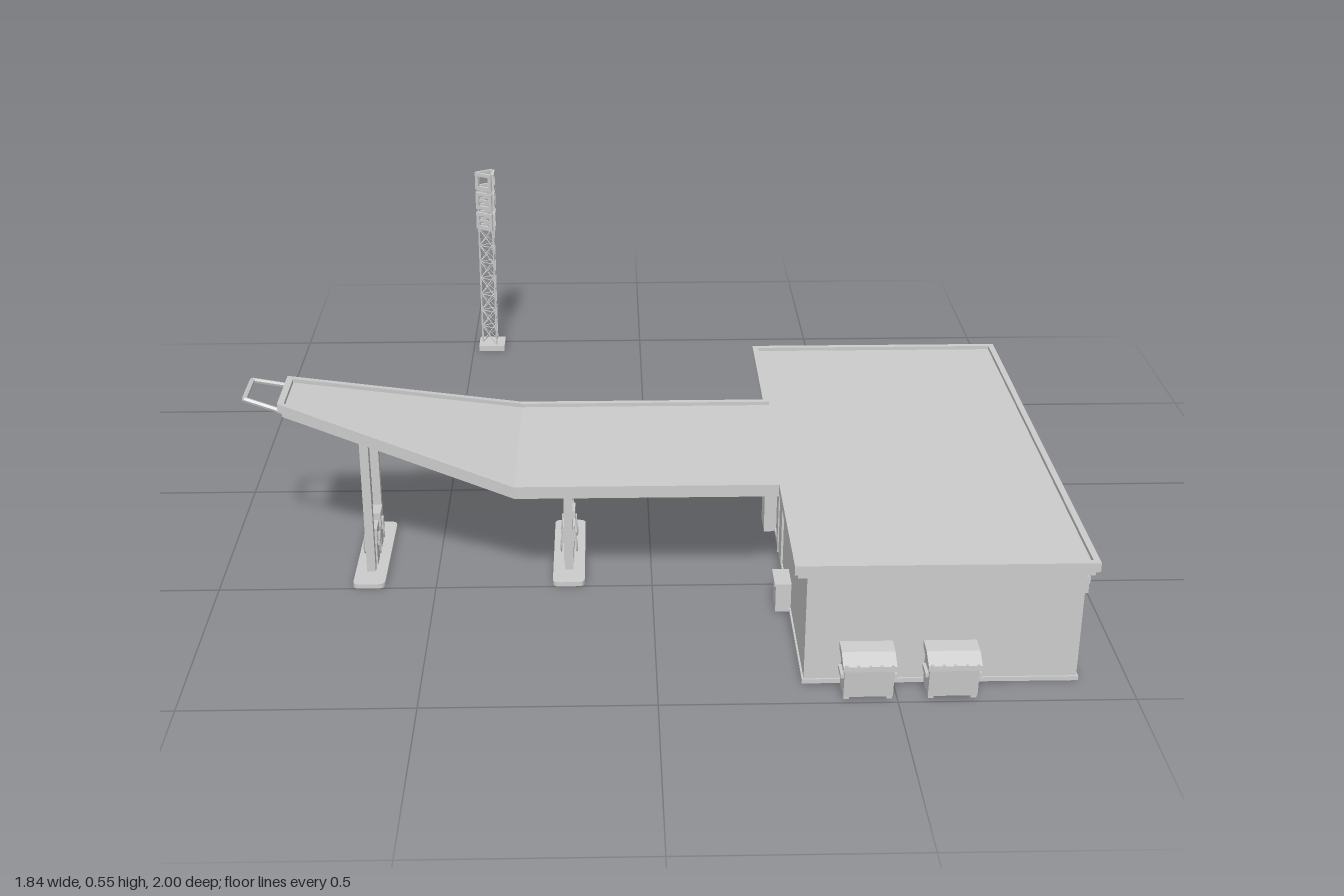
import * as THREE from 'three';

const grey = new THREE.MeshStandardMaterial({ color: 0xcccccc, flatShading: true });
const greyDouble = new THREE.MeshStandardMaterial({ color: 0xcccccc, flatShading: true, side: THREE.DoubleSide });

function add(parent, name, geometry, x = 0, y = 0, z = 0, material = grey) {
  const mesh = new THREE.Mesh(geometry, material);
  mesh.name = name;
  mesh.position.set(x, y, z);
  parent.add(mesh);
  return mesh;
}

// Box given by its minimum and maximum on each axis
function block(parent, name, x0, x1, y0, y1, z0, z1) {
  return add(parent, name, new THREE.BoxGeometry(x1 - x0, y1 - y0, z1 - z0),
    (x0 + x1) / 2, (y0 + y1) / 2, (z0 + z1) / 2);
}

// Thin bar between two points
function strut(parent, name, a, b, radius, sides = 4) {
  const dir = b.clone().sub(a);
  const mesh = add(parent, name, new THREE.CylinderGeometry(radius, radius, dir.length(), sides));
  mesh.position.copy(a).add(b).multiplyScalar(0.5);
  mesh.quaternion.setFromUnitVectors(new THREE.Vector3(0, 1, 0), dir.normalize());
  return mesh;
}

function group(parent, name, x = 0, y = 0, z = 0) {
  const g = new THREE.Group();
  g.name = name;
  g.position.set(x, y, z);
  parent.add(g);
  return g;
}

// The canopy rises towards its tip beyond the bend
const BEND = -0.31;
const lift = (x) => Math.max(0, BEND - x) * 0.26;

// Roof outline in x, z
const OUTLINE = [
  [0.91, -0.23], [0.91, 0.95], [0.28, 0.95], [0.28, 0.578], [BEND, 0.578],
  [-0.845, 0.425], [-0.845, 0.265], [BEND, 0.113], [0.28, 0.113], [0.28, -0.23],
].map(([x, z]) => new THREE.Vector2(x, z));

// Outline moved inwards, with mitred corners
function inset(points, d) {
  const n = points.length;
  return points.map((p, i) => {
    const u = p.clone().sub(points[(i + n - 1) % n]).normalize();
    const v = points[(i + 1) % n].clone().sub(p).normalize();
    const nu = new THREE.Vector2(-u.y, u.x), nv = new THREE.Vector2(-v.y, v.x);
    return nu.clone().add(nv).multiplyScalar(d / (1 + nu.dot(nv))).add(p);
  });
}

// Stepped edge band swept round the outline
function fasciaGeometry() {
  const profile = [[0.008, 0.264], [0.008, 0.276], [0, 0.276], [0, 0.297], [0.014, 0.297], [0.014, 0.264]];
  const rings = profile.map(([d, y]) => inset(OUTLINE, d).map((p) => [p.x, y + lift(p.x), p.y]));
  const pos = [], index = [], n = OUTLINE.length, m = profile.length;
  rings.forEach((ring) => ring.forEach((p) => pos.push(...p)));
  for (let j = 0; j < m; j++) for (let i = 0; i < n; i++) {
    const k = (j + 1) % m, l = (i + 1) % n;
    const a = j * n + i, b = j * n + l, c = k * n + l, d = k * n + i;
    index.push(a, d, b, b, d, c);
  }
  const g = new THREE.BufferGeometry();
  g.setAttribute('position', new THREE.Float32BufferAttribute(pos, 3));
  g.setIndex(index);
  g.computeVertexNormals();
  return g;
}

// Slab whose outline lies in x, z; its top is at the given height
function slab(points, top, depth) {
  const g = new THREE.ExtrudeGeometry(new THREE.Shape(points), { depth, bevelEnabled: false });
  g.rotateX(Math.PI / 2).translate(0, top, 0);
  const p = g.attributes.position;
  for (let i = 0; i < p.count; i++) p.setY(i, p.getY(i) + lift(p.getX(i)));
  g.computeVertexNormals();
  return g;
}

function buildRoof(root) {
  const roof = group(root, 'roof');
  const o = inset(OUTLINE, 0.01);
  add(roof, 'roofDeck', slab([...o.slice(0, 5), ...o.slice(7)], 0.288, 0.02));
  add(roof, 'canopyTailDeck', slab(o.slice(4, 8), 0.288, 0.02));
  add(roof, 'fascia', fasciaGeometry(), 0, 0, 0, greyDouble);
  // Open frame at the canopy tip
  const tip = [[-0.83, 0.412, 0.418], [-0.922, 0.437, 0.4], [-0.922, 0.437, 0.29], [-0.83, 0.412, 0.272]]
    .map((p) => new THREE.Vector3(...p));
  for (let i = 0; i < 3; i++) strut(roof, 'tipFrame', tip[i], tip[i + 1], 0.006, 6);
}

function buildStore(root) {
  const store = group(root, 'store');
  block(store, 'walls', 0.31, 0.89, 0, 0.27, -0.19, 0.92);
  block(store, 'plinth', 0.306, 0.894, 0, 0.01, -0.194, 0.924);
  // Side wall fittings
  for (const z of [0.775, 0.842]) {
    block(store, 'airConditioner', 0.89, 0.912, 0.18, 0.22, z - 0.027, z + 0.027);
    const fan = add(store, 'fanGrille', new THREE.CylinderGeometry(0.016, 0.016, 0.006, 16), 0.914, 0.2, z);
    fan.rotation.z = Math.PI / 2;
  }
  block(store, 'meterBox', 0.89, 0.9, 0.073, 0.112, -0.027, 0.003);
  block(store, 'doorStep', 0.89, 0.915, 0, 0.01, -0.13, -0.045);
  // Entrance and machines under the canopy
  block(store, 'entranceDoor', 0.305, 0.31, 0.01, 0.17, 0.3, 0.42);
  block(store, 'doorMullion', 0.302, 0.31, 0.01, 0.17, 0.357, 0.363);
  block(store, 'vendingMachine', 0.28, 0.31, 0, 0.155, 0.17, 0.24);
  block(store, 'iceBox', 0.275, 0.31, 0, 0.065, 0.56, 0.625);
  block(store, 'iceBoxLid', 0.272, 0.31, 0.065, 0.072, 0.557, 0.628);
}

function buildBin(root, x) {
  const bin = group(root, 'wasteBin', x, 0, 0);
  // Side profile in z, y with a sloping lid
  const panel = (name, pts, width) => {
    const g = new THREE.ExtrudeGeometry(new THREE.Shape(pts.map((p) => new THREE.Vector2(...p))),
      { depth: width, bevelEnabled: false });
    g.translate(0, 0, -width / 2).rotateY(-Math.PI / 2);
    add(bin, name, g);
  };
  panel('binBody', [[0.93, 0.008], [0.99, 0.008], [0.996, 0.078], [0.93, 0.092]], 0.104);
  panel('binLid', [[0.926, 0.09], [1, 0.074], [1, 0.086], [0.965, 0.102], [0.926, 0.104]], 0.112);
  block(bin, 'binRail', -0.059, 0.059, 0.05, 0.06, 0.945, 0.985);
  for (let i = -2; i <= 2; i++) block(bin, 'lidRib', i * 0.024 - 0.003, i * 0.024 + 0.003, 0.074, 0.088, 0.99, 1);
  for (const s of [-1, 1]) for (const z of [0.94, 0.98])
    block(bin, 'binFoot', s * 0.045 - 0.006, s * 0.045 + 0.006, 0, 0.008, z - 0.006, z + 0.006);
}

function buildIsland(root, x) {
  const island = group(root, 'pumpIsland', x, 0, 0.345);
  const shape = new THREE.Shape();
  const w = 0.037, h = 0.155, r = 0.015;
  shape.moveTo(-w + r, -h).lineTo(w - r, -h).quadraticCurveTo(w, -h, w, -h + r)
    .lineTo(w, h - r).quadraticCurveTo(w, h, w - r, h)
    .lineTo(-w + r, h).quadraticCurveTo(-w, h, -w, h - r)
    .lineTo(-w, -h + r).quadraticCurveTo(-w, -h, -w + r, -h);
  const curb = new THREE.ExtrudeGeometry(shape, { depth: 0.011, bevelEnabled: false, curveSegments: 4 });
  add(island, 'curb', curb.rotateX(Math.PI / 2).translate(0, 0.011, 0));
  for (const s of [-1, 1]) {
    block(island, 'post', -0.01, 0.01, 0.01, 0.272 + lift(x), s * 0.085 - 0.01, s * 0.085 + 0.01);
    // Pump with display head, nozzles and hoses
    const pump = group(island, 'fuelPump', 0, 0, s * 0.04);
    block(pump, 'pumpBody', -0.012, 0.012, 0.01, 0.07, -0.021, 0.021);
    block(pump, 'pumpHead', -0.014, 0.014, 0.07, 0.106, -0.023, 0.023);
    for (const t of [-1, 1]) {
      block(pump, 'nozzle', t * 0.015 - 0.003, t * 0.015 + 0.003, 0.055, 0.085, -0.006, 0.006);
      const hose = new THREE.CatmullRomCurve3([[t * 0.014, 0.095, 0.014], [t * 0.019, 0.06, 0.016],
        [t * 0.018, 0.035, 0.008], [t * 0.016, 0.06, 0]].map((p) => new THREE.Vector3(...p)));
      add(pump, 'hose', new THREE.TubeGeometry(hose, 10, 0.0018, 5));
    }
  }
}

function buildTower(root) {
  const tower = group(root, 'signTower', -0.445, 0, -0.963);
  block(tower, 'towerBase', -0.038, 0.038, 0, 0.016, -0.037, 0.037);
  const corner = (i, y) => {
    const a = Math.PI + (i * Math.PI * 2) / 3;
    return new THREE.Vector3(Math.cos(a) * 0.028, y, Math.sin(a) * 0.028);
  };
  const levels = 7, y0 = 0.016, step = 0.051;
  for (let i = 0; i < 3; i++) {
    strut(tower, 'towerLeg', corner(i, y0), corner(i, 0.54), 0.003, 6);
    for (let j = 0; j < levels; j++) {
      const a = y0 + j * step, b = a + step;
      strut(tower, 'crossBrace', corner(i, a), corner(i + 1, b), 0.0015);
      strut(tower, 'crossBrace', corner(i + 1, a), corner(i, b), 0.0015);
      strut(tower, 'ring', corner(i, b), corner(i + 1, b), 0.0015);
    }
    // Three open sign frames on each face
    const face = group(tower, 'signFace');
    face.rotation.y = Math.PI / 2 + (i * Math.PI * 2) / 3;
    for (const y of [0.402, 0.463, 0.522]) {
      for (const s of [-1, 1]) {
        block(face, 'signSide', s * 0.022 - 0.005, s * 0.022 + 0.005, y - 0.024, y + 0.024, 0.014, 0.022);
        block(face, 'signRail', -0.027, 0.027, y + s * 0.02 - 0.005, y + s * 0.02 + 0.005, 0.014, 0.022);
      }
      if (y < 0.5) block(face, 'signBar', -0.02, 0.02, y - 0.004, y + 0.004, 0.015, 0.02);
    }
  }
}

export function createModel() {
  const root = new THREE.Group();
  root.name = 'fuelStation';
  buildStore(root);
  buildRoof(root);
  for (const x of [0.438, 0.615]) buildBin(root, x);
  for (const x of [-0.655, -0.193]) buildIsland(root, x);
  buildTower(root);
  return root;
}
